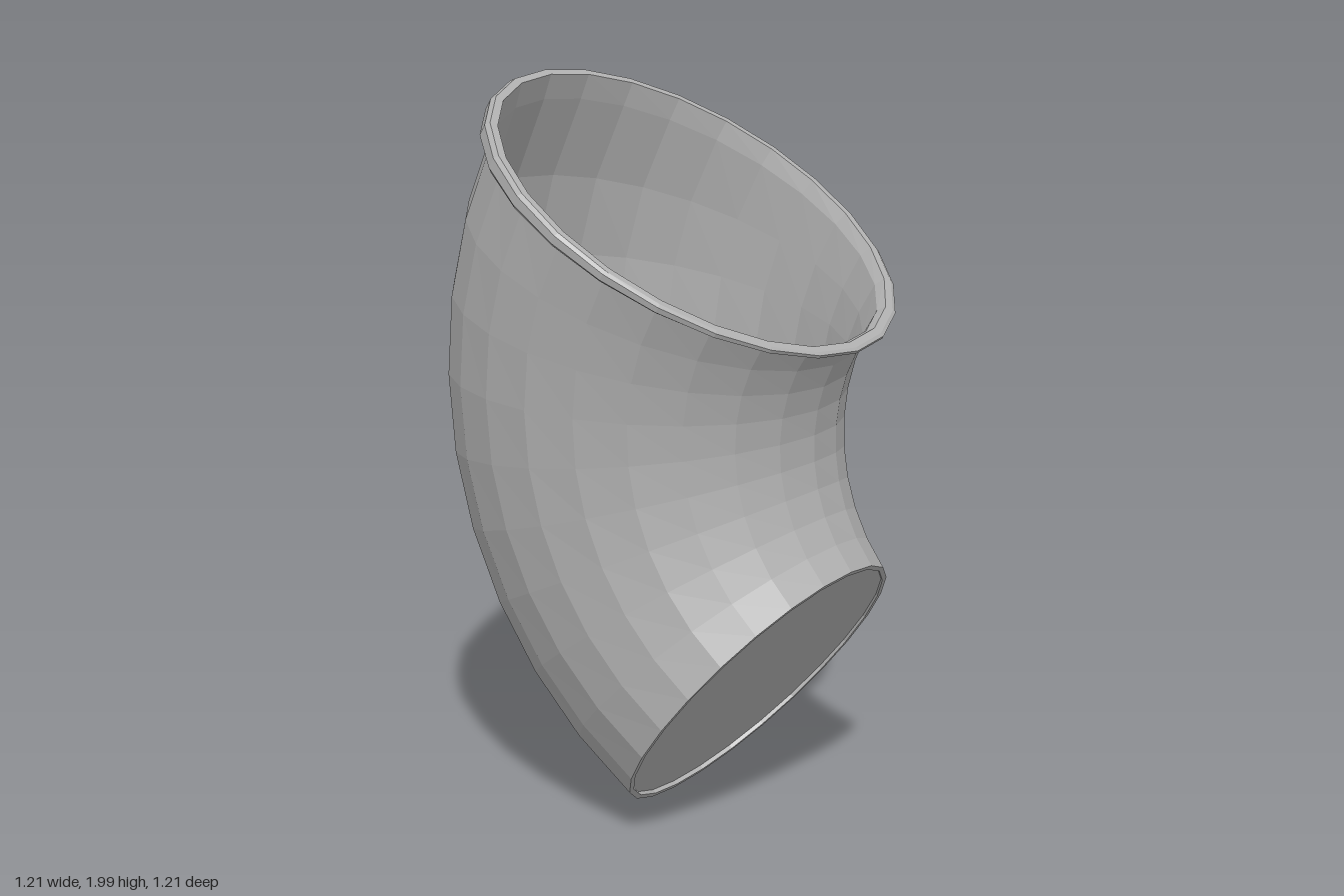
import * as THREE from 'three';

const SIDES = 24;
const BEND = 0.971;              // radius of the elbow's centre line
const CX = 0.876, CY = 1.134;    // centre of the bend

// Point on the ring at bend angle deg, radius r, turn a around the centre line
function ringPoint(deg, r, a) {
  const p = THREE.MathUtils.degToRad(deg);
  const k = BEND + r * Math.cos(a);
  return [CX - k * Math.cos(p), CY + k * Math.sin(p), r * Math.sin(a)];
}

// Skin a profile of [bend angle, radius] rings into a faceted surface
function loft(name, rings, material) {
  const pos = [];
  const at = (i, j) => ringPoint(rings[i][0], rings[i][1], (j / SIDES) * Math.PI * 2);
  for (let i = 0; i < rings.length - 1; i++) {
    for (let j = 0; j < SIDES; j++) {
      const a = at(i, j), b = at(i, j + 1), c = at(i + 1, j + 1), d = at(i + 1, j);
      if (rings[i][1] > 0) pos.push(...a, ...b, ...d);
      if (rings[i + 1][1] > 0) pos.push(...b, ...c, ...d);
    }
  }
  return faceted(name, pos, material);
}

function faceted(name, pos, material) {
  const g = new THREE.BufferGeometry();
  g.setAttribute('position', new THREE.Float32BufferAttribute(pos, 3));
  g.computeVertexNormals();
  const mesh = new THREE.Mesh(g, material);
  mesh.name = name;
  return mesh;
}

export function createModel() {
  const grey = new THREE.MeshStandardMaterial({ color: 0xb0b0b0, flatShading: true });
  grey.name = 'grey';

  // Wall radius grows from the closed end to the open end
  const START = -52, END = 30.6, STEPS = 9;
  const radius = s => 0.463 + 0.11 * s + 0.012 * Math.sin(Math.PI * s);
  const outer = [], inner = [];
  for (let i = 0; i <= STEPS; i++) {
    const s = i / STEPS, deg = START + (END - START) * s;
    outer.push([deg, radius(s)]);
    inner.unshift([deg, radius(s) - 0.01]);
  }

  const elbow = new THREE.Group();
  elbow.name = 'elbow';
  elbow.add(loft('outerWall', outer, grey));
  elbow.add(loft('innerWall', inner, grey));

  // Raised lip around the open end
  elbow.add(loft('rim', [
    [30.6, 0.565], [30.9, 0.598], [31.5, 0.61], [32.8, 0.61],
    [33.3, 0.6], [33.3, 0.578], [30.6, 0.563],
  ], grey));

  // Closed end: slightly recessed disc inside a thin edge
  elbow.add(loft('endCap', [[-51.5, 0], [-51.5, 0.448], [-52, 0.448], [-52, 0.463]], grey));

  // Pleated floor inside the closed end
  const floor = [];
  const apex = ringPoint(-46, 0, 0);
  const edge = k => {
    const deg = k % 2 ? -44.4 : -41.5;
    return ringPoint(deg, radius((deg - START) / (END - START)) - 0.008, (k / (2 * SIDES)) * Math.PI * 2);
  };
  for (let k = 0; k < 2 * SIDES; k++) floor.push(...apex, ...edge(k), ...edge(k + 1));
  elbow.add(faceted('innerFloor', floor, grey));

  // The bend opens diagonally towards the front
  elbow.rotation.y = THREE.MathUtils.degToRad(-37);
  const model = new THREE.Group();
  model.name = 'pipeElbow';
  model.add(elbow);
  return model;
}
